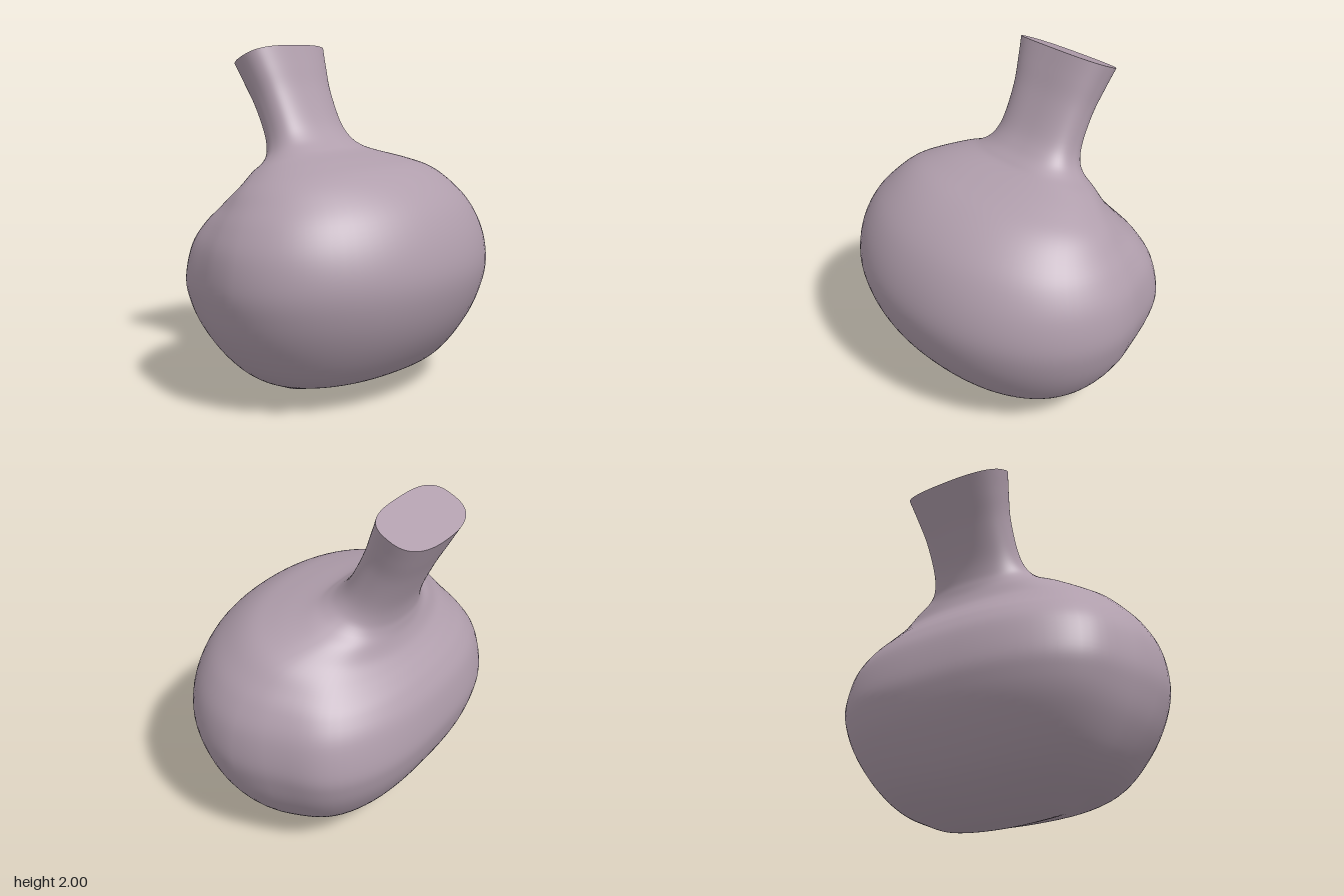
import * as THREE from 'three';

// Cross-sections from base to rim:
// front z, front y, back z, back y, half width, front squareness, back squareness
const SECTIONS = [
  [-0.10, 0.00, -0.10, 0.00, 0.00, 2.0, 2.0],
  [-0.03, 0.008, -0.16, 0.005, 0.20, 2.0, 2.0],
  [0.05, 0.035, -0.23, 0.025, 0.36, 2.1, 2.1],
  [0.20, 0.09, -0.36, 0.085, 0.50, 2.3, 2.3],
  [0.35, 0.13, -0.49, 0.18, 0.635, 2.3, 2.45],
  [0.475, 0.21, -0.59, 0.30, 0.755, 2.2, 2.55],
  [0.61, 0.38, -0.675, 0.45, 0.865, 2.1, 2.6],
  [0.695, 0.56, -0.717, 0.58, 0.925, 2.1, 2.65],
  [0.73, 0.74, -0.73, 0.70, 0.95, 2.1, 2.65],
  [0.70, 0.92, -0.70, 0.88, 0.925, 2.1, 2.55],
  [0.62, 1.09, -0.645, 0.99, 0.855, 2.1, 2.45],
  [0.50, 1.22, -0.59, 1.06, 0.77, 2.1, 2.3],
  [0.35, 1.31, -0.545, 1.11, 0.69, 2.2, 2.2],
  [0.18, 1.355, -0.505, 1.165, 0.59, 2.35, 2.1],
  [0.00, 1.39, -0.48, 1.23, 0.465, 2.5, 2.1],
  [-0.065, 1.42, -0.472, 1.285, 0.36, 2.5, 2.1],
  [-0.13, 1.47, -0.473, 1.345, 0.295, 2.6, 2.2],
  [-0.20, 1.56, -0.50, 1.45, 0.265, 2.7, 2.3],
  [-0.29, 1.74, -0.57, 1.61, 0.265, 2.9, 2.4],
  [-0.345, 1.88, -0.64, 1.745, 0.288, 3.0, 2.5],
  [-0.39, 2.00, -0.70, 1.86, 0.315, 3.0, 2.5],
];
const SIDES = 72;
const STEPS = 5;

// Smooth curve through three columns of the section table
const column = (a, b, c) => new THREE.CatmullRomCurve3(
  SECTIONS.map((s) => new THREE.Vector3(s[a], s[b], s[c])), false, 'catmullrom', 0.5);
const front = column(0, 1, 4);
const back = column(2, 3, 5);
const square = column(5, 6, 4);

// One rounded ring, tilted between its front and back points
function ring(t) {
  const f = front.getPoint(t), b = back.getPoint(t), q = square.getPoint(t);
  const width = Math.max(f.z, 0);
  const points = [];
  for (let i = 0; i < SIDES; i++) {
    const a = (i / SIDES) * Math.PI * 2;
    const c = Math.cos(a), s = Math.sin(a);
    const e = 2 / (c >= 0 ? q.x : q.y);
    const u = Math.sign(c) * Math.abs(c) ** e;
    // Shallow hollow on each side behind the widest line
    const hollow = 0.045 * width * width * Math.sin(Math.PI * THREE.MathUtils.clamp(-u / 0.8, 0, 1)) ** 2;
    const x = width * (1 - hollow) * Math.sign(s) * Math.abs(s) ** e;
    points.push(x, (f.y + b.y) / 2 + (f.y - b.y) / 2 * u, (f.x + b.x) / 2 + (f.x - b.x) / 2 * u);
  }
  return points;
}

function build(positions, index) {
  const g = new THREE.BufferGeometry();
  g.setAttribute('position', new THREE.Float32BufferAttribute(positions, 3));
  g.setIndex(index);
  g.computeVertexNormals();
  return g;
}

// Skin of belly and neck, closed by a single point at the base
function skinGeometry() {
  const rows = (SECTIONS.length - 1) * STEPS;
  const positions = [SECTIONS[0][4], SECTIONS[0][1], SECTIONS[0][0]];
  const index = [];
  for (let r = 1; r <= rows; r++) {
    positions.push(...ring(r / rows));
    for (let i = 0; i < SIDES; i++) {
      const j = (i + 1) % SIDES;
      const top = 1 + (r - 1) * SIDES;
      if (r === 1) index.push(0, top + j, top + i);
      else {
        const low = top - SIDES;
        index.push(low + i, low + j, top + j, low + i, top + j, top + i);
      }
    }
  }
  return build(positions, index);
}

// Flat slanted face at the end of the neck
function capGeometry() {
  const s = SECTIONS[SECTIONS.length - 1];
  const positions = [0, (s[1] + s[3]) / 2, (s[0] + s[2]) / 2, ...ring(1)];
  const index = [];
  for (let i = 0; i < SIDES; i++) index.push(0, 1 + i, 1 + (i + 1) % SIDES);
  return build(positions, index);
}

export function createModel() {
  const group = new THREE.Group();
  group.name = 'gourd';
  const material = new THREE.MeshStandardMaterial({ color: 0xb09eac });
  const body = new THREE.Mesh(skinGeometry(), material);
  body.name = 'bellyAndNeck';
  const cap = new THREE.Mesh(capGeometry(), material);
  cap.name = 'neckEnd';
  group.add(body, cap);
  return group;
}
